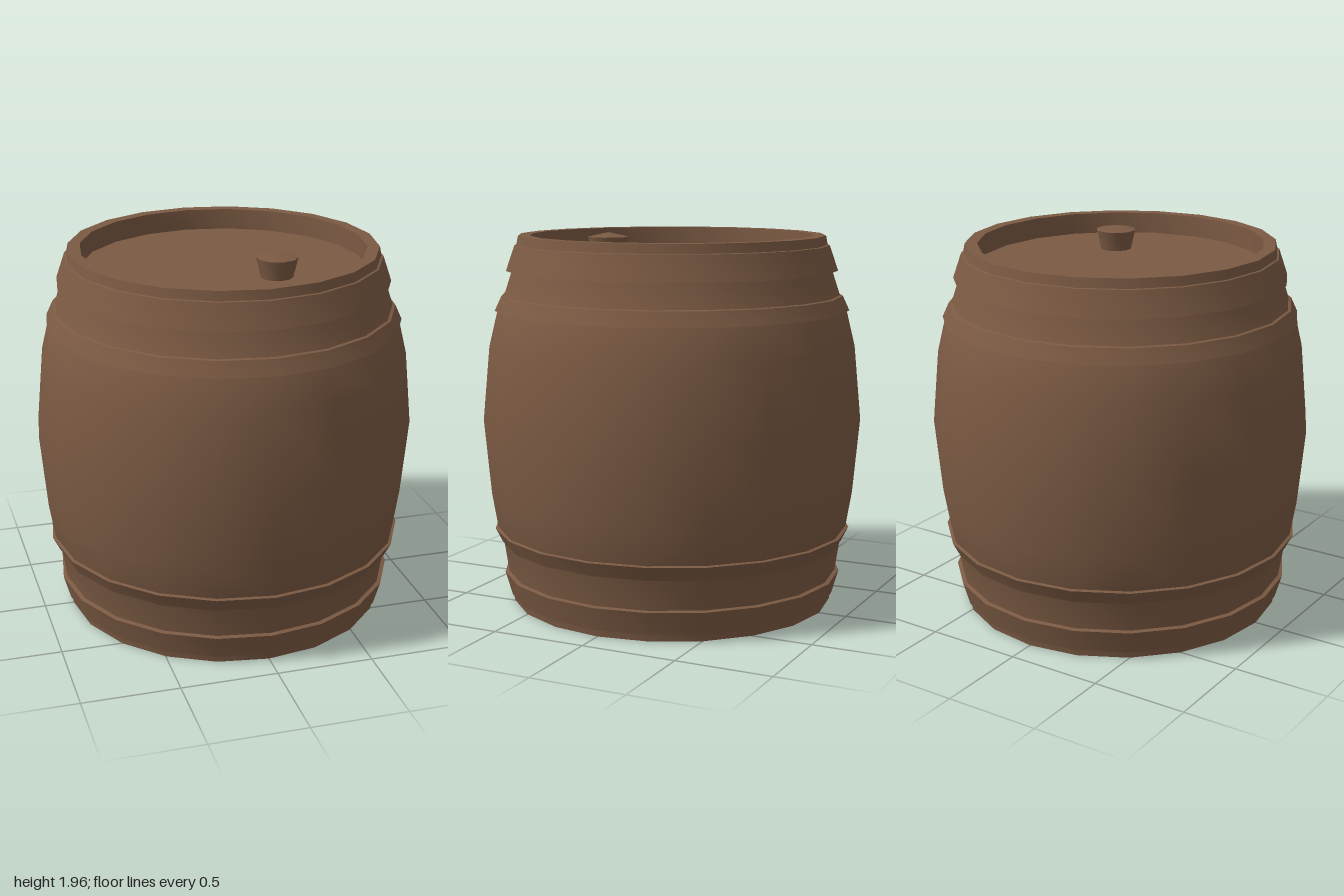
import * as THREE from 'three';
import { toCreasedNormals } from 'three/addons/utils/BufferGeometryUtils.js';

export function createModel() {
  const group = new THREE.Group();
  const wood = new THREE.MeshStandardMaterial({ color: 0x7b5a43 });

  // Revolves a [radius, height] profile, keeping hard profile edges sharp
  function turned(name, profile, sides = 20) {
    const points = profile.map(([r, y]) => new THREE.Vector2(r, y));
    const geometry = toCreasedNormals(new THREE.LatheGeometry(points, sides), 0.7);
    const mesh = new THREE.Mesh(geometry, wood);
    mesh.name = name;
    group.add(mesh);
    return mesh;
  }

  // Bulging staves with the thickness of both rims
  const barrel = [
    turned('staves', [
      [0.8, 0.09], [0.795, 0], [0.853, 0],
      [0.88, 0.16], [0.905, 0.325], [0.935, 0.41], [0.965, 0.59],
      [1, 0.985],
      [0.963, 1.37], [0.918, 1.555], [0.883, 1.63], [0.84, 1.76],
      [0.805, 1.94], [0.742, 1.94], [0.742, 1.83],
    ]),
    // Recessed end boards
    turned('bottomBoard', [[0, 0.09], [0.8, 0.09]]),
    turned('lid', [[0.742, 1.83], [0, 1.83]]),
  ];

  // Raised hoops: lower radius and height, upper radius and height
  const hoops = [
    [0.866, 0.035, 0.902, 0.16],
    [0.912, 0.325, 0.95, 0.4],
    [0.932, 1.555, 0.897, 1.63],
    [0.87, 1.76, 0.825, 1.89],
  ];
  hoops.forEach(([r0, y0, r1, y1], i) => {
    barrel.push(turned('hoop' + (i + 1), [
      [r0 - 0.04, y0], [r0, y0], [r1, y1], [r1 - 0.04, y1 + 0.01],
    ]));
  });
  barrel.forEach((mesh) => { mesh.scale.x = 0.99; });

  // Tapered bung standing in the lid, with a slightly domed top
  const bung = turned('bung', [[0.08, 1.82], [0.106, 1.932], [0, 1.955]], 10);
  bung.position.set(0.205, 0, 0.265);

  return group;
}
